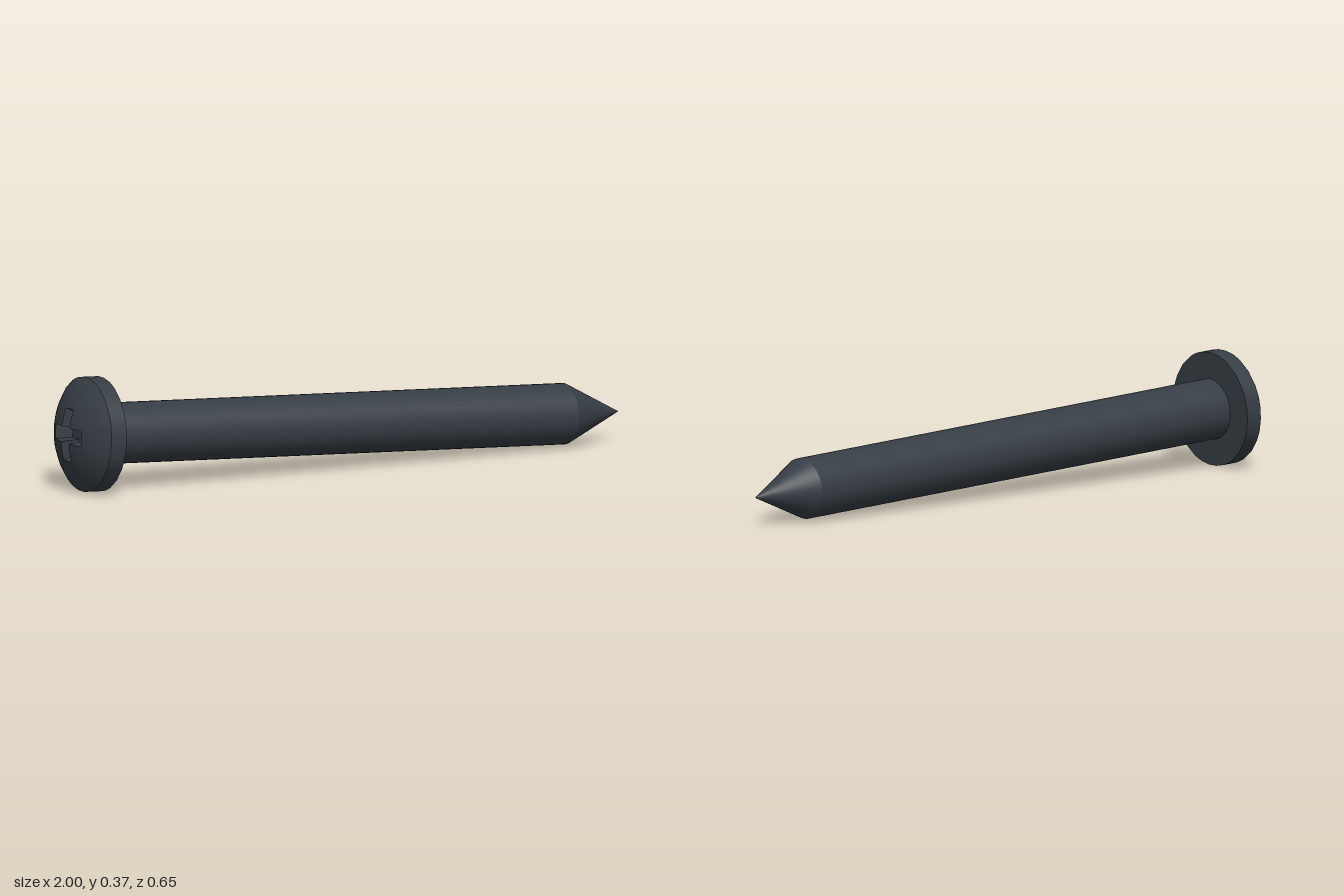
import * as THREE from 'three';

const HEAD_R = 0.186, RIM_H = 0.056, DOME_H = 0.07;
const SHAFT_R = 0.099, SHAFT_L = 1.712, TIP_L = 0.2;
const ARM_L = 0.085, ARM_W = 0.025;

// outline of the cross recess, evenly divided along each edge: [x, z] pairs
function crossOutline(steps) {
  const corners = [];
  for (let k = 0; k < 4; k++) {
    const c = Math.round(Math.cos(k * Math.PI / 2)), s = Math.round(Math.sin(k * Math.PI / 2));
    for (const [u, v] of [[ARM_L, -ARM_W], [ARM_L, ARM_W], [ARM_W, ARM_W]]) {
      corners.push([u * c - v * s, u * s + v * c]);
    }
  }
  const out = [];
  corners.forEach((p, i) => {
    const q = corners[(i + 1) % corners.length];
    for (let j = 0; j < steps; j++) {
      const t = j / steps;
      out.push([p[0] + (q[0] - p[0]) * t, p[1] + (q[1] - p[1]) * t]);
    }
  });
  return out;
}

// skin a list of closed rings of [x, y, z] points
function loft(rings, flat = false) {
  const n = rings[0].length, index = [];
  for (let i = 0; i < rings.length - 1; i++) {
    for (let j = 0; j < n; j++) {
      const a = i * n + j, b = i * n + (j + 1) % n;
      index.push(a, a + n, b, b, a + n, b + n);
    }
  }
  let g = new THREE.BufferGeometry();
  g.setAttribute('position', new THREE.Float32BufferAttribute(rings.flat(2), 3));
  g.setIndex(index);
  if (flat) g = g.toNonIndexed();
  g.computeVertexNormals();
  return g;
}

export function createModel() {
  const steel = new THREE.MeshStandardMaterial({ color: 0x363d44 });
  steel.name = 'darkSteel';
  const screw = new THREE.Group();
  screw.name = 'screw';
  const add = (name, geometry, y = 0) => {
    const m = new THREE.Mesh(geometry, steel);
    m.name = name;
    m.position.y = y;
    screw.add(m);
    return m;
  };

  // spherical dome height over the head
  const R = (HEAD_R ** 2 + DOME_H ** 2) / (2 * DOME_H);
  const domeY = (x, z) => RIM_H + DOME_H - R + Math.sqrt(R * R - x * x - z * z);

  const cross = crossOutline(3);
  const circle = cross.map(([x, z]) => {
    const k = HEAD_R / Math.hypot(x, z);
    return [x * k, z * k];
  });
  const flatRing = (pts, k, y) => pts.map(([x, z]) => [x * k, y, z * k]);

  // head: underside, rim, and dome running in to the edge of the recess
  add('headUnderside', loft([flatRing(circle, 0.3, 0), flatRing(circle, 1, 0)]));
  add('headRim', loft([flatRing(circle, 1, 0), flatRing(circle, 1, RIM_H)]));
  const domeRings = [];
  for (let i = 0; i <= 8; i++) {
    const t = i / 8;
    domeRings.push(circle.map(([x, z], j) => {
      const px = x + (cross[j][0] - x) * t, pz = z + (cross[j][1] - z) * t;
      return [px, domeY(px, pz), pz];
    }));
  }
  add('headDome', loft(domeRings));

  // tapered cross recess
  const floorY = RIM_H + 0.005;
  const lip = cross.map(([x, z]) => [x, domeY(x, z), z]);
  add('recessWalls', loft([lip, flatRing(cross, 0.75, floorY)], true));
  add('recessFloor', loft([flatRing(cross, 0.75, floorY), flatRing(cross, 0.001, floorY)]));

  // shaft and point
  add('shaft', new THREE.CylinderGeometry(SHAFT_R, SHAFT_R, SHAFT_L, 36, 1, true), -SHAFT_L / 2);
  add('tip', new THREE.ConeGeometry(SHAFT_R, TIP_L, 36, 4, true), -SHAFT_L - TIP_L / 2).rotation.x = Math.PI;

  // lay the screw down, resting on head and point
  const up = new THREE.Vector3(-1.865, 0.09, -0.403).normalize();
  const side = new THREE.Vector3(0, 1, 0).addScaledVector(up, -up.y).normalize();
  const third = new THREE.Vector3().crossVectors(side, up);
  screw.quaternion.setFromRotationMatrix(new THREE.Matrix4().makeBasis(side, up, third));
  screw.position.set(-0.871, 0.188, -0.138);

  const model = new THREE.Group();
  model.name = 'model';
  model.add(screw);
  return model;
}
